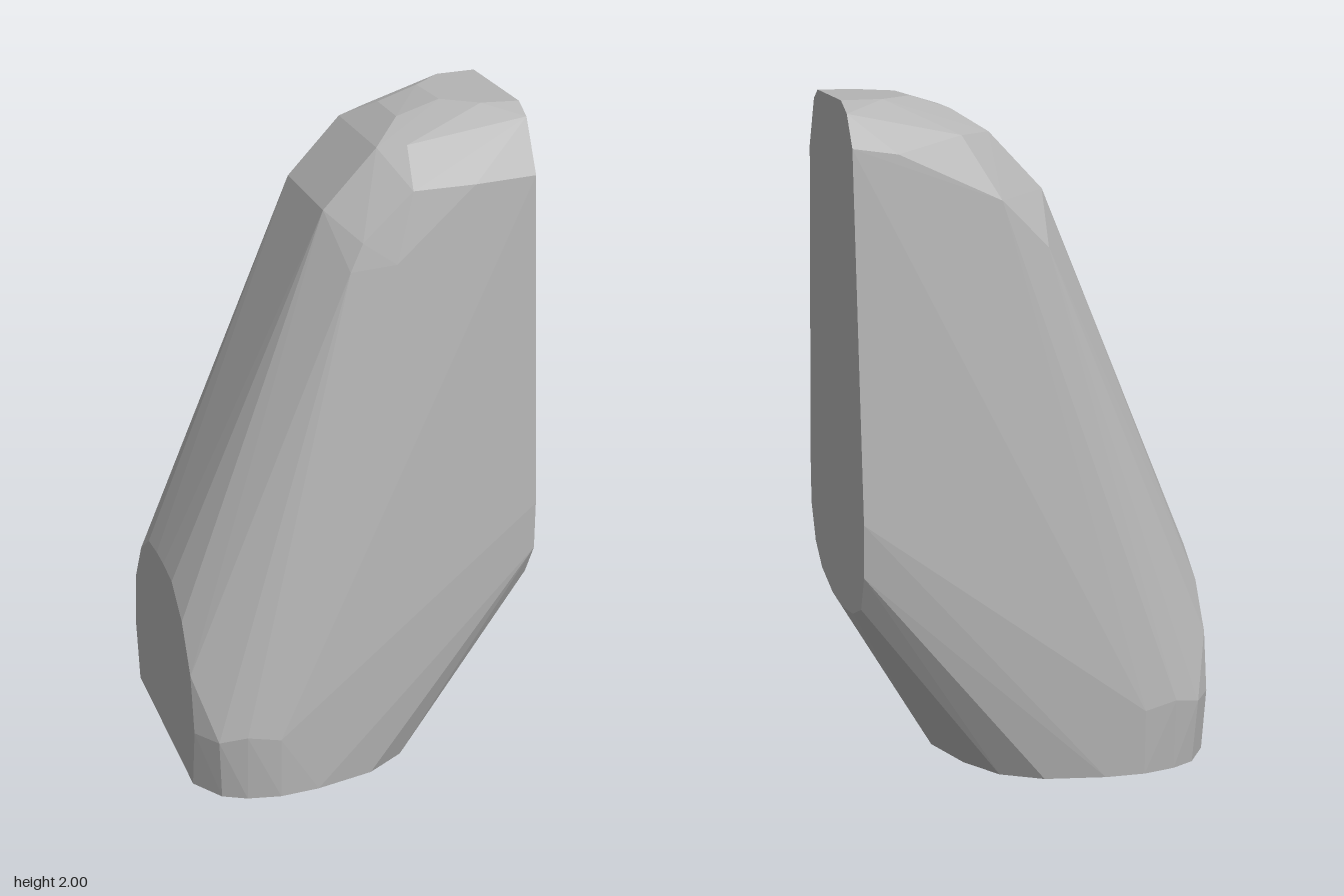
import * as THREE from 'three';
import { ConvexGeometry } from 'three/addons/geometries/ConvexGeometry.js';

// Faceted, leaning block: the hull of a few cross-section outlines.
export function createModel() {
  const group = new THREE.Group();
  group.name = 'leaningBlock';
  const points = [];
  const add = (x, y, z) => points.push(new THREE.Vector3(x, y, z));

  // flat end on the +x side, as [z, y]
  const endOutline = [
    [0.16, 2], [0.22, 1.97], [0.305, 1.82], [0.4, 0.82], [0.4, 0.67], [0.34, 0.56], [0.24, 0.5], [0.07, 0.47],
    [-0.07, 0.47], [-0.24, 0.5], [-0.36, 0.55], [-0.41, 0.66], [-0.42, 0.82], [-0.34, 1.88], [-0.27, 1.97], [-0.19, 2],
  ];
  endOutline.forEach(([z, y]) => add(0.532, y, z));

  for (const s of [1, -1]) {
    // base outline, as [x, z]
    [[-0.535, 0.33], [-0.47, 0.425], [-0.4, 0.46], [-0.3, 0.48], [-0.18, 0.475], [0, 0.44],
      [0.12, 0.37], [0.2, 0.25], [0.26, 0.08]].forEach(([x, z]) => add(x, 0, s * z));
    // small flat on the -x side, as [z, y]
    [[0.365, 0.2], [0.335, 0.38], [0.25, 0.52], [0.14, 0.6], [0.04, 0.61]].forEach(([z, y]) => add(-0.535, y, s * z));
    // widest band of the flanks
    [[-0.48, 0.2, 0.443], [-0.4, 0.22, 0.473], [-0.3, 0.2, 0.484]].forEach(([x, y, z]) => add(x, y, s * z));
  }

  // rounded crown, front half and back half
  const crown = [
    [-0.1, 1.63, 0.07], [-0.06, 1.73, 0.155], [-0.02, 1.58, 0.285], [0.02, 1.66, 0.275], [0.11, 1.6, 0.315],
    [0.1, 1.9, 0.155], [0.17, 1.8, 0.275], [0.19, 1.96, 0.07], [0.18, 1.91, 0.19], [0.36, 1.94, 0.2],
    [0.35, 1.81, 0.3], [0.32, 2, 0.07], [0.42, 2, 0.145],
    [-0.1, 1.63, -0.09], [-0.06, 1.73, -0.18], [-0.08, 1.63, -0.2], [-0.04, 1.58, -0.325], [0.1, 1.72, -0.335],
    [0.1, 1.9, -0.18], [0.19, 1.96, -0.09], [0.2, 1.9, -0.26], [0.4, 1.86, -0.335], [0.31, 2, -0.09], [0.41, 2, -0.18],
  ];
  crown.forEach((p) => add(...p));

  const grey = new THREE.MeshStandardMaterial({ color: 0xb4b4b4 });
  grey.name = 'grey';
  const body = new THREE.Mesh(new ConvexGeometry(points), grey);
  body.name = 'body';
  group.add(body);
  return group;
}
